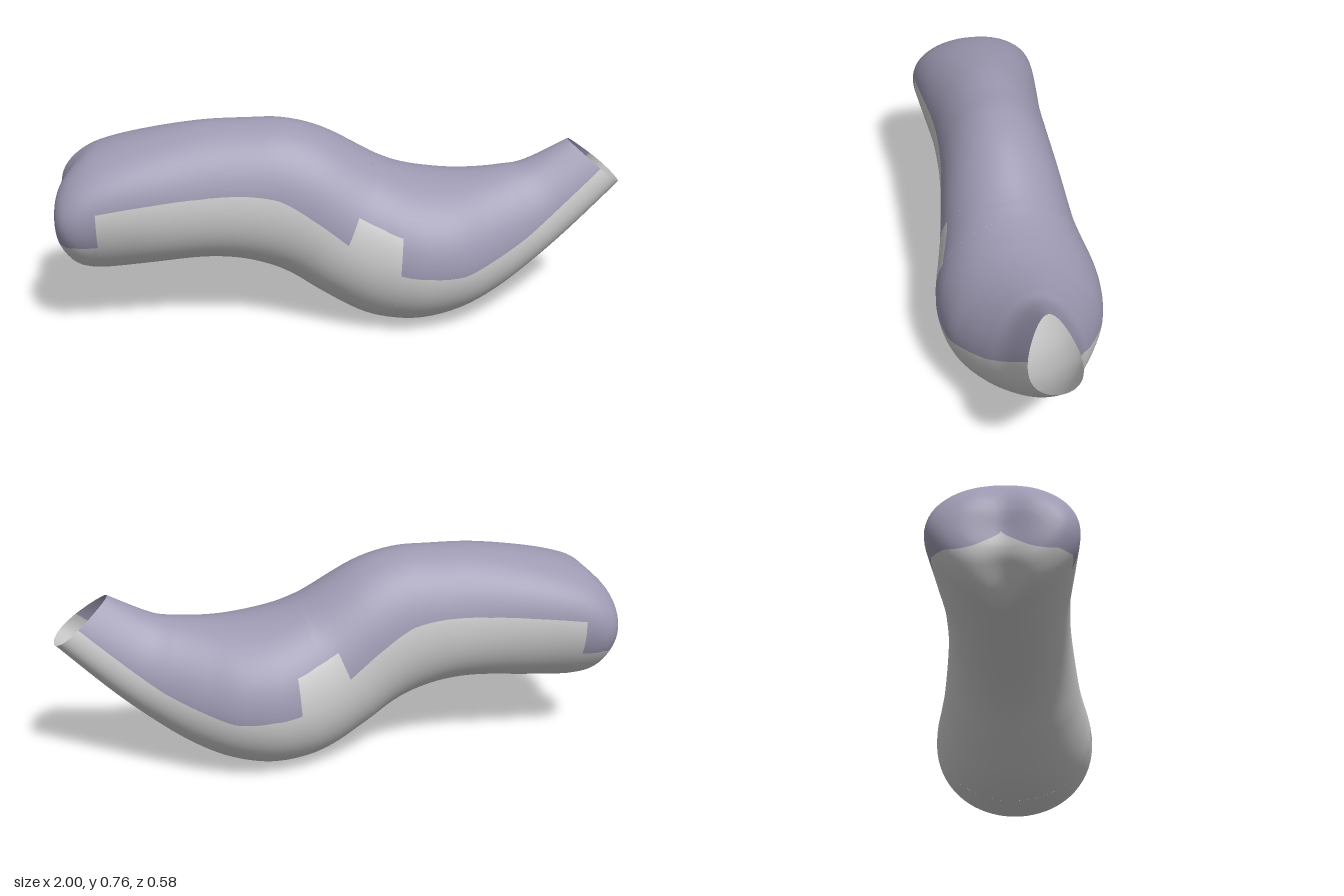
import * as THREE from 'three';

// Cross-sections along the body: bottom x,y, top x,y, half width,
// colour split (fraction of the section's height)
const S = [
  [-1, 0.44, -1, 0.45, 0, 0],
  [-1, 0.36, -1, 0.52, 0.14, 0.12],
  [-0.98, 0.3, -0.98, 0.58, 0.205, 0.28],
  [-0.93, 0.245, -0.93, 0.635, 0.236, 0.35],
  [-0.85, 0.23, -0.85, 0.68, 0.238, 0.33],
  [-0.7, 0.24, -0.7, 0.72, 0.228, 0.6],
  [-0.5, 0.258, -0.5, 0.752, 0.212, 0.58],
  [-0.37, 0.25, -0.33, 0.758, 0.21, 0.59],
  [-0.26, 0.22, -0.2, 0.755, 0.213, 0.58],
  [-0.18, 0.182, -0.06, 0.715, 0.223, 0.53],
  [-0.09, 0.122, 0.11, 0.62, 0.243, 0.5],
  [0.05, 0.04, 0.16, 0.595, 0.265, 0.7],
  [0.17, 0.007, 0.21, 0.575, 0.283, 0.69],
  [0.3, 0.006, 0.28, 0.558, 0.289, 0.45],
  [0.44, 0.045, 0.38, 0.546, 0.27, 0.41],
  [0.57, 0.115, 0.47, 0.548, 0.225, 0.41],
  [0.7, 0.213, 0.57, 0.56, 0.172, 0.4],
  [0.83, 0.328, 0.66, 0.58, 0.127, 0.42],
  [1, 0.5, 0.81, 0.658, 0.085, 0.44],
];
const LAST = S.length - 1;

// Sections where the colour line jumps to a new height
const STEPS = { 4: 0.62, 10: 0.69, 12: 0.46 };

// Smooth value of one section column at position s
function column(s, c) {
  const i = Math.min(LAST - 1, Math.floor(s)), t = s - i;
  const v = k => S[THREE.MathUtils.clamp(k, 0, LAST)][c];
  const p0 = v(i - 1), p1 = v(i), p2 = v(i + 1), p3 = v(i + 2);
  return p1 + 0.5 * t * (p2 - p0 + t * (2 * p0 - 5 * p1 + 4 * p2 - p3 + t * (3 * (p1 - p2) + p3 - p0)));
}

// Point on the skin: s along the body, a around it (0 = top, towards +z)
function skin(s, a) {
  const [xb, yb, xt, yt, w] = [0, 1, 2, 3, 4].map(c => column(s, c));
  // Sections are full at the top near the closed end, pointed towards the open end
  const mid = (xb + xt) / 2;
  const egg = 0.14 - 0.2 * THREE.MathUtils.smoothstep(mid, -0.9, -0.4)
    - 0.34 * (Math.max(0, mid - 0.3) / 0.6) ** 2;
  const h = (1 + Math.cos(a)) / 2;
  const z = w * Math.sin(a + egg * Math.sin(a));
  const x = xb + (xt - xb) * h, y = yb + (yt - yb) * h;
  // Crease down the middle of the closed end
  const k = 1 - THREE.MathUtils.smoothstep(x, -1, -0.85);
  const g = k * Math.exp(-((z / 0.07) ** 2));
  return new THREE.Vector3(x + 0.022 * g, y + 0.3 * g * Math.max(0, 0.44 - y), z);
}

function skinNormal(s, a) {
  if (s === 0) return new THREE.Vector3(-1, 0, 0);
  const e = 0.002;
  const along = skin(Math.min(LAST, s + e), a).sub(skin(s - e, a));
  const around = skin(s, a + e).sub(skin(s, a - e));
  return around.cross(along).normalize();
}

// Either the upper or the lower part of the skin, split at the colour line
function buildPart(name, upper, color) {
  const pos = [], nor = [], idx = [], ROWS = 5, COLS = 36;
  for (let i = 0; i < LAST; i++) {
    const base = pos.length / 3;
    for (let r = 0; r <= ROWS; r++) {
      const t = r / ROWS, s = i + t;
      const split = THREE.MathUtils.lerp(STEPS[i] ?? S[i][5], S[i + 1][5], t);
      const A = Math.acos(2 * split - 1);
      const from = upper ? -A : A, to = upper ? A : 2 * Math.PI - A;
      for (let c = 0; c <= COLS; c++) {
        const a = from + (to - from) * c / COLS;
        pos.push(...skin(s, a).toArray());
        nor.push(...skinNormal(s, a).toArray());
        if (r < ROWS && c < COLS) {
          const p = base + r * (COLS + 1) + c, q = p + COLS + 1;
          idx.push(p, p + 1, q, p + 1, q + 1, q);
        }
      }
    }
  }
  const geo = new THREE.BufferGeometry();
  geo.setAttribute('position', new THREE.Float32BufferAttribute(pos, 3));
  geo.setAttribute('normal', new THREE.Float32BufferAttribute(nor, 3));
  geo.setIndex(idx);
  const mesh = new THREE.Mesh(geo, new THREE.MeshStandardMaterial({ color, side: THREE.DoubleSide }));
  mesh.name = name;
  return mesh;
}

export function createModel() {
  const group = new THREE.Group();
  group.name = 'curvedBody';
  group.add(buildPart('upperSkin', true, 0x9d99b2));
  group.add(buildPart('lowerSkin', false, 0xcccccc));
  return group;
}
